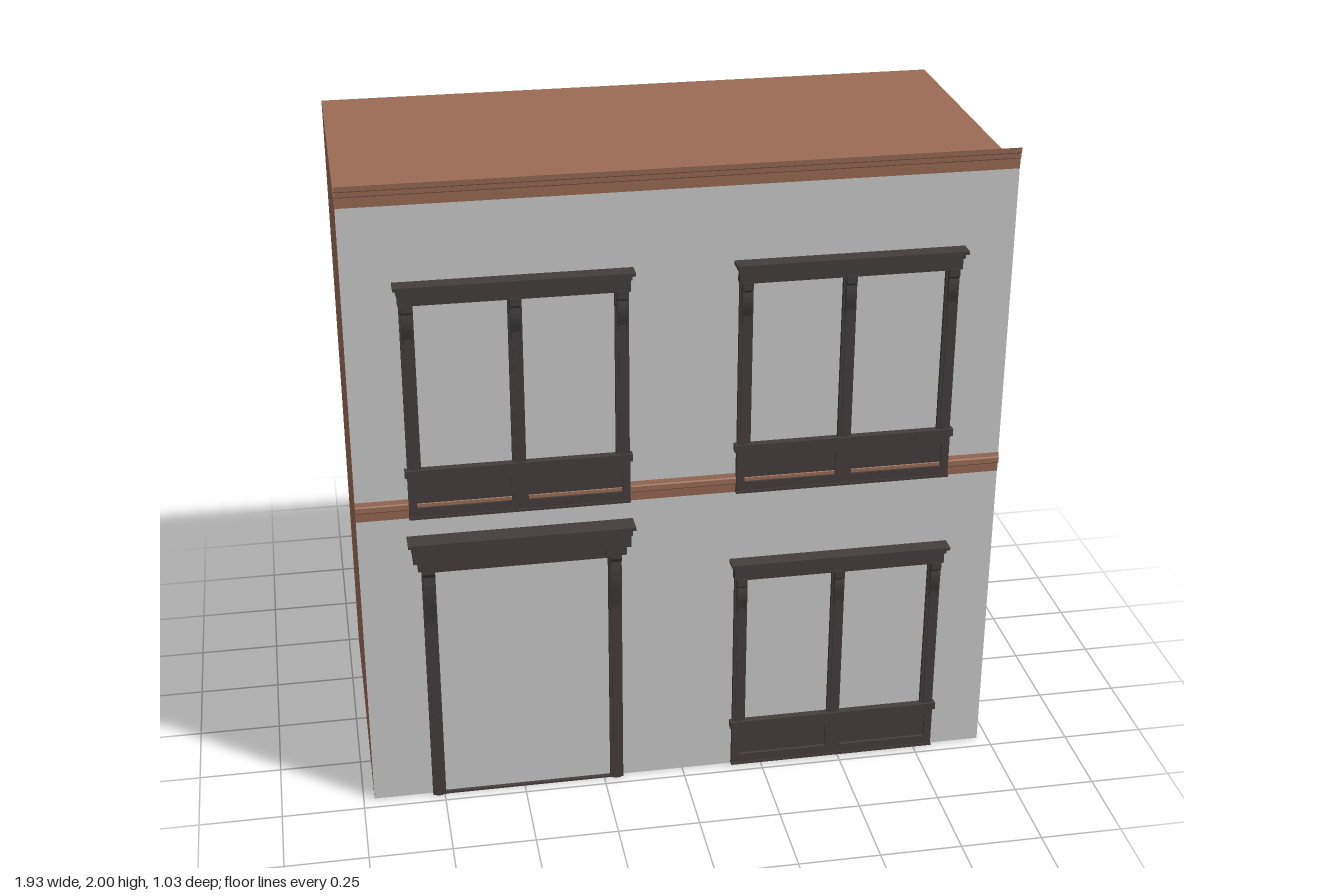
import * as THREE from 'three';

const brick = new THREE.MeshStandardMaterial({ color: 0x9a6b54 });
brick.name = 'brownBrick';
const trim = new THREE.MeshStandardMaterial({ color: 0x9a6b54, side: THREE.DoubleSide });
trim.name = 'brownTrim';
const plaster = new THREE.MeshStandardMaterial({ color: 0xcacaca });
plaster.name = 'greyPlaster';
const wood = new THREE.MeshStandardMaterial({ color: 0x443e3d });
wood.name = 'darkWood';

const FRONT = 0.455; // z of the facade
const WIDTH = 1.934;

// Box given by its x and y limits, standing out from the facade by depth
function slab(parent, name, x0, x1, y0, y1, depth, material = wood) {
  const mesh = new THREE.Mesh(new THREE.BoxGeometry(x1 - x0, y1 - y0, depth), material);
  mesh.position.set((x0 + x1) / 2, (y0 + y1) / 2, FRONT + depth / 2);
  mesh.name = name;
  parent.add(mesh);
}

// Open moulding: a [y, depth] profile swept across the facade
function moulding(name, profile) {
  const plane = new THREE.PlaneGeometry(WIDTH, 1, 1, profile.length - 1);
  const p = plane.attributes.position;
  for (let i = 0; i < p.count; i++) {
    const [y, depth] = profile[profile.length - 1 - Math.floor(i / 2)];
    p.setY(i, y);
    p.setZ(i, FRONT + depth);
  }
  const geometry = plane.toNonIndexed();
  geometry.computeVertexNormals();
  const mesh = new THREE.Mesh(geometry, trim);
  mesh.name = name;
  return mesh;
}

// Curved bracket hanging below yTop, centred on x
function bracket(parent, x, yTop, width, reach, drop) {
  const s = new THREE.Shape();
  s.moveTo(0, yTop);
  s.lineTo(reach, yTop);
  s.lineTo(reach, yTop - drop * 0.18);
  s.lineTo(reach * 0.8, yTop - drop * 0.24);
  s.bezierCurveTo(reach * 1.0, yTop - drop * 0.5, reach * 0.75, yTop - drop * 0.65,
    reach * 0.55, yTop - drop * 0.82);
  s.lineTo(reach * 0.35, yTop - drop);
  s.lineTo(0, yTop - drop);
  const geometry = new THREE.ExtrudeGeometry(s, { depth: width, bevelEnabled: false, curveSegments: 6 });
  geometry.rotateY(-Math.PI / 2);
  const mesh = new THREE.Mesh(geometry, wood);
  mesh.position.set(x + width / 2, 0, FRONT);
  mesh.name = 'bracket';
  parent.add(mesh);
}

function post(parent, x, y0, y1) {
  slab(parent, 'post', x - 0.02, x + 0.02, y0, y1, 0.013);
  slab(parent, 'postFace', x - 0.011, x + 0.011, y0, y1, 0.018);
}

function rectangle(target, x0, x1, y0, y1) {
  target.moveTo(x0, y0);
  target.lineTo(x1, y0);
  target.lineTo(x1, y1);
  target.lineTo(x0, y1);
  target.closePath();
  return target;
}

// Two-light window with a panelled base, centred on its own x = 0
function makeWindow(name, x, y) {
  const g = new THREE.Group();
  g.name = name;
  // Panelled base
  slab(g, 'panelBack', -0.322, 0.322, 0, 0.14, 0.007);
  const frame = rectangle(new THREE.Shape(), -0.325, 0.325, 0, 0.14);
  for (const side of [-1, 1]) {
    const a = side * 0.024, b = side * 0.301;
    frame.holes.push(rectangle(new THREE.Path(), Math.min(a, b), Math.max(a, b), 0.036, 0.112));
  }
  const base = new THREE.Mesh(new THREE.ExtrudeGeometry(frame, { depth: 0.016, bevelEnabled: false }), wood);
  base.position.z = FRONT;
  base.name = 'panelFrame';
  g.add(base);
  slab(g, 'plinth', -0.326, 0.326, 0, 0.008, 0.019);
  slab(g, 'sill', -0.332, 0.332, 0.138, 0.161, 0.023);
  // Posts and brackets
  for (const px of [-0.304, 0, 0.304]) {
    post(g, px, 0.16, 0.68);
    bracket(g, px, 0.68, 0.03, 0.034, 0.13);
  }
  // Head
  slab(g, 'head', -0.327, 0.327, 0.676, 0.715, 0.03);
  slab(g, 'headMoulding', -0.331, 0.331, 0.712, 0.729, 0.037);
  slab(g, 'headCap', -0.339, 0.339, 0.728, 0.738, 0.048);
  g.position.set(x, y, 0);
  return g;
}

function makeDoorway(x) {
  const g = new THREE.Group();
  g.name = 'doorway';
  slab(g, 'threshold', -0.298, 0.298, 0, 0.006, 0.012);
  slab(g, 'lintel', -0.298, 0.298, 0.792, 0.842, 0.018);
  for (const px of [-0.278, 0.278]) {
    post(g, px, 0, 0.8);
    bracket(g, px, 0.842, 0.034, 0.042, 0.24);
    slab(g, 'bracketCap', px - 0.031, px + 0.031, 0.812, 0.842, 0.044);
  }
  slab(g, 'head', -0.322, 0.322, 0.84, 0.88, 0.049);
  slab(g, 'headMoulding', -0.326, 0.326, 0.878, 0.9, 0.052);
  slab(g, 'headCap', -0.335, 0.335, 0.9, 0.91, 0.063);
  g.position.x = x;
  return g;
}

export function createModel() {
  const model = new THREE.Group();
  model.name = 'townhouse';

  // Building block: plaster front and underside, brown elsewhere
  const block = new THREE.Mesh(new THREE.BoxGeometry(WIDTH, 1.938, 0.97),
    [brick, brick, brick, plaster, plaster, brick]);
  block.position.set(0, 0.969, FRONT - 0.485);
  block.name = 'buildingBlock';
  model.add(block);

  // Roof cornice and floor band
  model.add(moulding('cornice', [[1.935, 0.001], [1.965, 0.002], [1.968, 0.005],
    [1.982, 0.006], [1.985, 0.009], [2.0, 0.01]]));
  model.add(moulding('floorBand', [[0.97, 0.001], [0.997, 0.003], [1.002, 0.009],
    [1.018, 0.009], [1.021, 0.005], [1.033, 0.001]]));

  // Openings
  model.add(makeWindow('upperRightWindow', -0.487, 0.972));
  model.add(makeWindow('upperLeftWindow', 0.481, 0.972));
  model.add(makeWindow('shopWindow', 0.481, 0.004));
  model.add(makeDoorway(-0.488));
  return model;
}
